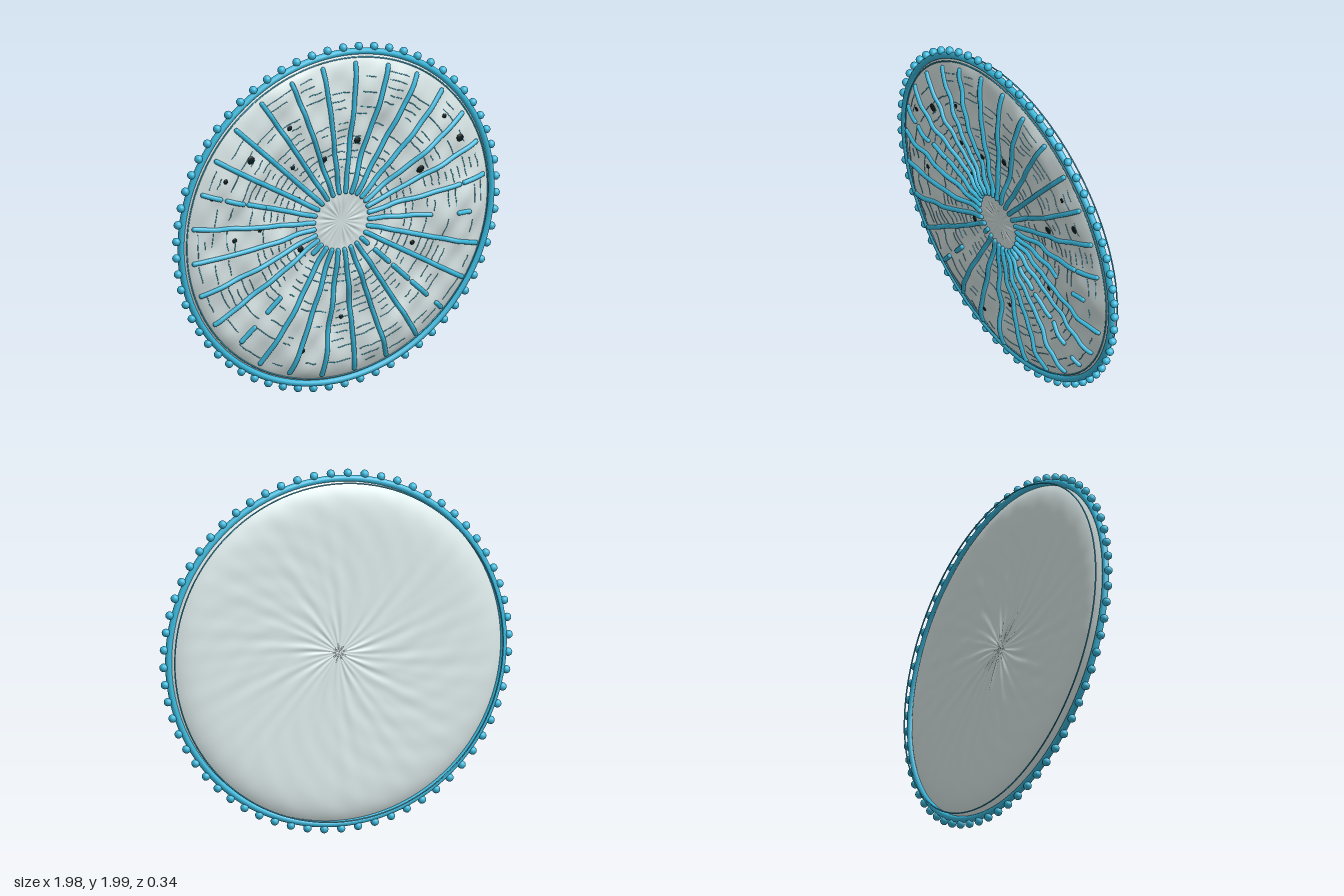
import * as THREE from 'three';
import { mergeGeometries } from 'three/addons/utils/BufferGeometryUtils.js';

const TAU = Math.PI * 2, R = 0.93, SPOKES = 28, PHASE = 0.15;

let seed = 7;
const rand = () => (seed = (seed * 16807) % 2147483647) / 2147483647;

// Puffy, rumpled front of the membrane
function frontHeight(r, a) {
  const x = r * Math.cos(a), y = r * Math.sin(a);
  const edge = 1 - Math.pow(r / R, 12);
  const rumple = 0.007 * Math.sin(11 * x + 5 * y + 1) + 0.006 * Math.sin(13 * y - 6 * x)
    + 0.006 * Math.sin(25 * x + 2) * Math.sin(23 * y) + 0.003 * Math.sin(37 * x - 31 * y);
  const swell = 0.016 * Math.exp(-((x - 0.75) ** 2 + y * y) / 0.025);
  const hub = (0.0016 * Math.sin(23 * a) + 0.0012 * Math.sin(14 * a + 1))
    * Math.exp(-(((r - 0.1) / 0.05) ** 2));
  return edge * (0.059 + rumple * Math.min(1, r * 4) + swell) + hub;
}

// Fuller back with swirling wrinkles
function backHeight(r, a) {
  const edge = 1 - Math.pow(r / R, 14);
  const fade = Math.min(1, r * 7) * Math.exp(-r * 2);
  const swirl = fade * (0.0028 * Math.sin(26 * a + 9 * r) + 0.0022 * Math.sin(17 * a + 14 * r + 1))
    + 0.0016 * Math.min(1, r * 2) * Math.sin(31 * a + 22 * r) * Math.sin(9 * a - 15 * r);
  return -edge * (0.05 + swirl);
}

// Polar grid disc following a height rule
function membraneSide(height, front) {
  const rings = 56, segs = 192, pos = [], idx = [];
  for (let i = 0; i <= rings; i++) for (let j = 0; j < segs; j++) {
    const r = Math.max(0.0005, R * i / rings), a = TAU * j / segs;
    pos.push(r * Math.cos(a), r * Math.sin(a), height(r, a));
  }
  for (let i = 0; i < rings; i++) for (let j = 0; j < segs; j++) {
    const k = (j + 1) % segs;
    const a = i * segs + j, b = a + segs, c = (i + 1) * segs + k, d = i * segs + k;
    if (front) idx.push(a, b, c, a, c, d);
    else idx.push(a, c, b, a, d, c);
  }
  const g = new THREE.BufferGeometry();
  g.setAttribute('position', new THREE.Float32BufferAttribute(pos, 3));
  g.setIndex(idx);
  g.computeVertexNormals();
  return g;
}

const onFront = (r, a, lift) =>
  new THREE.Vector3(r * Math.cos(a), r * Math.sin(a), frontHeight(r, a) + lift);

// Round-ended rod lying along the front at one angle
function rod(a, r0, r1, lift) {
  const n = Math.max(3, Math.round((r1 - r0) * 30)), pts = [];
  for (let i = 0; i <= n; i++) pts.push(onFront(r0 + (r1 - r0) * i / n, a, lift));
  const parts = [new THREE.TubeGeometry(new THREE.CatmullRomCurve3(pts), n * 2, 0.0135, 8)];
  for (const p of [pts[0], pts[n]])
    parts.push(new THREE.SphereGeometry(0.0135, 8, 6).translate(p.x, p.y, p.z));
  return mergeGeometries(parts);
}

export function createModel() {
  const model = new THREE.Group();
  const disc = new THREE.Group();
  disc.name = 'tiltedDisc';
  model.add(disc);

  const blue = new THREE.MeshStandardMaterial({ color: 0x3ab8dc });
  blue.name = 'blue';
  const pale = new THREE.MeshStandardMaterial({ color: 0xdeebeb });
  pale.name = 'paleGrey';
  const dark = new THREE.MeshStandardMaterial({ color: 0x0b1c1e });
  dark.name = 'darkSpot';

  const add = (name, geometry, material) => {
    const m = new THREE.Mesh(geometry, material);
    m.name = name;
    disc.add(m);
    return m;
  };

  // Membrane
  add('membraneFront', membraneSide(frontHeight, true), pale);
  add('membraneBack', membraneSide(backHeight, false), pale);

  // Rim with thin hoops on both faces
  add('rim', new THREE.TorusGeometry(0.945, 0.018, 12, 140), blue);
  add('backHoop', new THREE.TorusGeometry(0.926, 0.004, 6, 140), blue).position.z = -0.051;
  add('frontHoop', new THREE.TorusGeometry(0.916, 0.004, 6, 140), blue).position.z = 0.014;

  // Beads around the rim
  const beads = [], beadCount = 64;
  for (let i = 0; i < beadCount; i++) {
    const a = Math.PI / 2 + TAU * i / beadCount;
    beads.push(new THREE.SphereGeometry(0.0225, 14, 10)
      .translate(0.973 * Math.cos(a), 0.973 * Math.sin(a), 0));
  }
  add('rimBeads', mergeGeometries(beads), blue);

  // Spokes; some are partly buried and show only in pieces
  const broken = {
    0: [[0.17, 0.72], [0.75, 0.88]],
    12: [[0.17, 0.48], [0.5, 0.6], [0.64, 0.74], [0.78, 0.88]],
    17: [[0.17, 0.23], [0.53, 0.63], [0.74, 0.84]],
    24: [[0.17, 0.22], [0.28, 0.4], [0.44, 0.58], [0.62, 0.74], [0.83, 0.88]],
    27: [[0.17, 0.54], [0.71, 0.78]],
  };
  const rods = [];
  for (let i = 0; i < SPOKES; i++)
    for (const [r0, r1] of broken[i] || [[0.17, 0.885]])
      rods.push(rod(PHASE + TAU * i / SPOKES, r0, r1, 0.005));
  add('spokes', mergeGeometries(rods), blue);

  // Broken rings of fine thread between the spokes, sparser towards the rim
  const threads = [];
  for (let r = 0.27; r < 0.86; r += 0.042) for (let s = 0; s < SPOKES; s++) {
    if (rand() < 0.15 + 0.45 * r * r) continue;
    const step = TAU / SPOKES, from = rand() * 0.4, to = 0.6 + rand() * 0.4;
    const pts = [];
    for (let i = 0; i <= 4; i++) {
      const t = from + (to - from) * i / 4;
      pts.push(onFront(r + (rand() - 0.5) * 0.007, PHASE + step * (s + t), 0.0002));
    }
    threads.push(new THREE.TubeGeometry(new THREE.CatmullRomCurve3(pts), 6, 0.0024, 4));
  }
  add('threads', mergeGeometries(threads), blue);

  // Dark spots scattered on the front
  const spots = [[-0.34, 0.58, 0.015], [-0.57, 0.43, 0.024], [-0.72, 0.33, 0.014],
    [-0.31, 0.35, 0.013], [-0.12, 0.37, 0.018], [0.08, 0.45, 0.02], [0.61, 0.51, 0.014],
    [0.71, 0.37, 0.022], [0.47, 0.23, 0.024], [-0.79, 0.24, 0.016], [-0.65, -0.02, 0.014],
    [-0.24, -0.13, 0.018], [0.44, -0.19, 0.014], [0.03, -0.56, 0.013], [-0.2, -0.72, 0.013],
    [-0.26, 0.16, 0.011], [-0.5, 0.02, 0.012]];
  add('spots', mergeGeometries(spots.map(([x, y, s]) =>
    new THREE.SphereGeometry(s, 10, 6).scale(1, 1, 0.3)
      .translate(x, y, frontHeight(Math.hypot(x, y), Math.atan2(y, x)) + 0.001))), dark);

  disc.rotation.set(0.07, -0.1, 0);
  disc.position.set(0, 1, -0.01);
  return model;
}
